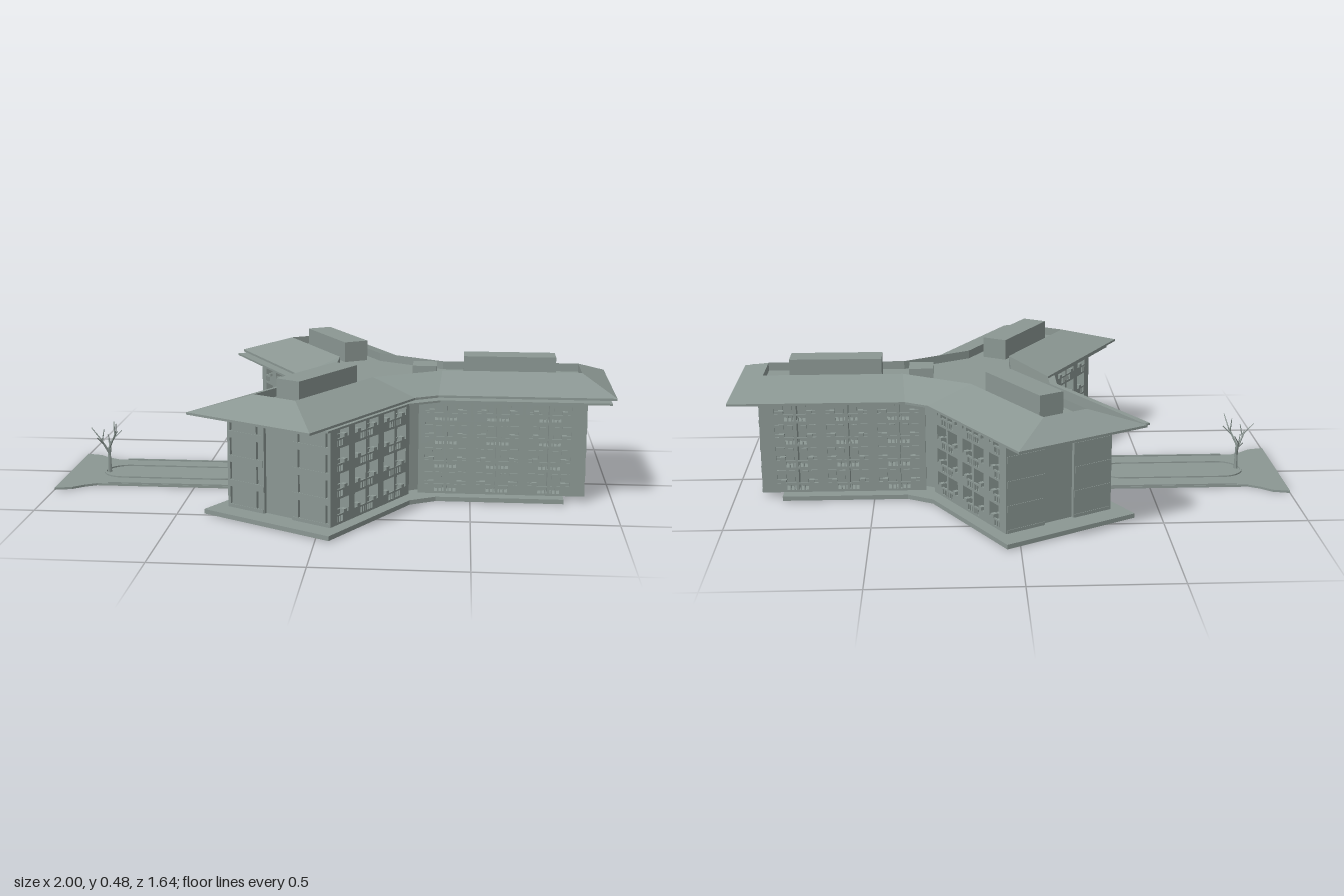
import * as THREE from 'three';
import { mergeGeometries } from 'three/addons/utils/BufferGeometryUtils.js';

const material = new THREE.MeshStandardMaterial({ color: 0x8b9793, flatShading: true });
const ANGLES = [0, 1, 2].map(i => i * Math.PI * 2 / 3);
const HUB = [0.17, 0.02];
const WALL_LENGTH = [0.73, 0.62, 0.625];
const FLOORS = 4, BASE = 0.02, PITCH = 0.086;

function add(parent, name, geometry) {
  const mesh = new THREE.Mesh(geometry, material);
  mesh.name = name;
  parent.add(mesh);
  return mesh;
}

// Box given by its limits on each axis
function span(x0, x1, y0, y1, z0, z1) {
  return new THREE.BoxGeometry(Math.abs(x1 - x0), y1 - y0, Math.abs(z1 - z0))
    .translate((x0 + x1) / 2, (y0 + y1) / 2, (z0 + z1) / 2);
}

// Three-winged outline with cut inner corners, as (x, -z) points
function wingOutline([cx, cz], lengths, half, inner) {
  const points = [];
  ANGLES.forEach((t, i) => {
    for (const [a, b] of [[inner, half], [lengths[i], half], [lengths[i], -half], [inner, -half]]) {
      points.push(new THREE.Vector2(
        cx + a * Math.cos(t) + b * Math.sin(t),
        -(cz - a * Math.sin(t) + b * Math.cos(t))));
    }
  });
  return points;
}

// Flat plate or prism standing between two heights
function prism(outline, y0, y1, holes = []) {
  const shape = new THREE.Shape(outline);
  shape.holes = holes.map(h => new THREE.Path(h));
  return new THREE.ExtrudeGeometry(shape, { depth: y1 - y0, bevelEnabled: false })
    .rotateX(-Math.PI / 2).translate(0, y0, 0);
}

// Skin through rings of [outline, height], closed at both ends
function loft(rings) {
  const pos = [], n = rings[0][0].length;
  const put = ([outline, y], i) => pos.push(outline[i % n].x, y, -outline[i % n].y);
  for (let r = 0; r < rings.length - 1; r++) {
    const a = rings[r], b = rings[r + 1];
    for (let i = 0; i < n; i++) {
      put(a, i); put(a, i + 1); put(b, i + 1);
      put(a, i); put(b, i + 1); put(b, i);
    }
  }
  const first = rings[0], last = rings[rings.length - 1];
  for (const f of THREE.ShapeUtils.triangulateShape(first[0], [])) [f[0], f[2], f[1]].forEach(i => put(first, i));
  for (const f of THREE.ShapeUtils.triangulateShape(last[0], [])) f.forEach(i => put(last, i));
  const g = new THREE.BufferGeometry();
  g.setAttribute('position', new THREE.Float32BufferAttribute(pos, 3));
  g.computeVertexNormals();
  return g;
}

// Balconies along one long side of a wing (s = +1 or -1), bays mirrored in pairs
function balconies(length, s) {
  const parts = [], x0 = 0.15, x1 = length - 0.035, bays = length > 0.7 ? 6 : 5;
  const w = (x1 - x0) / bays, back = 0.17 * s, front = 0.215 * s;
  for (let f = 0; f < FLOORS; f++) {
    const y = BASE + f * PITCH;
    parts.push(span(x0, x1, y, y + 0.008, back, front));
    for (let b = 0; b < bays; b++) {
      const at = k => x0 + (b + (b % 2 ? 1 - k : k)) * w;
      // solid parapet, open rail beside it, two rail posts
      parts.push(span(at(0.05), at(0.58), y, y + 0.034, front - 0.006 * s, front));
      parts.push(span(at(0.58), at(1), y + 0.028, y + 0.034, front - 0.005 * s, front));
      for (const k of [0.7, 0.85])
        parts.push(span(at(k), at(k + 0.05), y, y + 0.03, front - 0.004 * s, front));
      // upper side screen, window with sill, door and a wall unit
      parts.push(span(at(0.05), at(0.2), y + 0.034, y + PITCH, front - 0.006 * s, front));
      parts.push(span(at(0.15), at(0.5), y + 0.035, y + 0.068, back, back + 0.006 * s));
      parts.push(span(at(0.12), at(0.53), y + 0.031, y + 0.035, back, back + 0.012 * s));
      parts.push(span(at(0.62), at(0.85), y, y + 0.066, back, back + 0.006 * s));
      parts.push(span(at(0.35), at(0.55), y + 0.034, y + 0.046, front - 0.014 * s, front + 0.003 * s));
    }
  }
  for (let b = 0; b <= bays; b++)
    parts.push(span(x0 + b * w - 0.005, x0 + b * w + 0.005, BASE, 0.362, back, front));
  parts.push(span(x0, x1, 0.345, 0.362, back, front));
  return mergeGeometries(parts);
}

// Upright panels closing a wing: recessed middle, and slots broken by floor bands
function endWall(length, slotted) {
  const parts = [span(length - 0.035, length - 0.012, BASE, 0.362, -0.058, 0.058)];
  const strips = slotted ? [[0.058, 0.083], [0.091, 0.196], [0.204, 0.215]] : [[0.058, 0.215]];
  for (const s of [-1, 1]) {
    for (const [a, b] of strips)
      parts.push(span(length - 0.035, length, BASE, 0.362, a * s, b * s));
    for (let f = 0; f <= FLOORS; f++) {
      const y = BASE + f * PITCH;
      parts.push(span(length - 0.03, length + 0.002, Math.max(BASE, y - 0.012), Math.min(0.362, y + 0.012), 0.062 * s, 0.21 * s));
    }
  }
  return mergeGeometries(parts);
}

// Rounded long loop for the island kerb
function loopOutline(x0, x1, z, r) {
  const points = [];
  for (const [cx, start] of [[x1 - r, -Math.PI / 2], [x0 + r, Math.PI / 2]]) {
    for (let i = 0; i <= 16; i++) {
      const t = start + i * Math.PI / 16;
      points.push(new THREE.Vector2(cx + r * Math.cos(t), -z + r * Math.sin(t)));
    }
  }
  return points;
}

// Bare tree: each limb splits into thinner ones
function tree() {
  const parts = [], up = new THREE.Vector3(0, 1, 0);
  const limb = (from, dir, len, radius, depth, turn) => {
    const g = new THREE.CylinderGeometry(radius * 0.6, radius, len, 6).translate(0, len / 2, 0);
    g.applyQuaternion(new THREE.Quaternion().setFromUnitVectors(up, dir)).translate(from.x, from.y, from.z);
    parts.push(g);
    if (!depth) return;
    for (let k = 0; k < 3; k++) {
      const a = turn + k * 2.1;
      const next = dir.clone().add(new THREE.Vector3(Math.cos(a), 0.25, Math.sin(a)).multiplyScalar(0.65)).normalize();
      const start = from.clone().addScaledVector(dir, len * (0.98 - 0.2 * k));
      limb(start, next, len * (0.78 - 0.06 * k), radius * 0.58, depth - 1, a + 1.3);
    }
  };
  limb(new THREE.Vector3(-0.85, 0.008, 0.02), up, 0.095, 0.008, 2, 0.5);
  return mergeGeometries(parts);
}

export function createModel() {
  const model = new THREE.Group();
  model.name = 'threeWingBuilding';

  // Ground plate and hollow wall core
  const corridor = wingOutline(HUB, [0.62, 0.57, 0.57], 0.045, 0.19);
  add(model, 'groundPlate', prism(wingOutline(HUB, [0.655, 0.7, 0.7], 0.26, 0.21), 0.004, BASE, [corridor]));
  add(model, 'wallCore', prism(wingOutline(HUB, WALL_LENGTH.map(l => l - 0.03), 0.17, 0.15), BASE, 0.362, [corridor]));

  // Wings with balconies on both sides
  ANGLES.forEach((angle, i) => {
    const wing = new THREE.Group();
    wing.name = ['eastWing', 'rearWing', 'frontWing'][i];
    wing.position.set(HUB[0], 0, HUB[1]);
    wing.rotation.y = angle;
    add(wing, 'balconiesA', balconies(WALL_LENGTH[i], 1));
    add(wing, 'balconiesB', balconies(WALL_LENGTH[i], -1));
    add(wing, 'endWall', endWall(WALL_LENGTH[i], i === 2));
    model.add(wing);
  });

  // Eave plate, sloped roof and sunken roof deck
  const roofHub = [0.183, -0.018];
  const eave = wingOutline(roofHub, [0.817, 0.777, 0.82], 0.253, 0.2);
  const rim = wingOutline(roofHub, [0.707, 0.665, 0.668], 0.085, 0.21);
  add(model, 'eavePlate', prism(wingOutline(HUB, [0.81, 0.77, 0.7], 0.259, 0.22), 0.36, 0.367));
  add(model, 'roof', loft([[eave, 0.367], [eave, 0.375], [rim, 0.43], [rim, 0.4]]));

  // Plant rooms on the deck
  ANGLES.forEach((angle, i) => {
    const [start, end] = [[0.287, 0.617], [0.245, 0.585], [0.255, 0.595]][i];
    const box = add(model, 'plantRoom', span(start, end, 0.398, 0.476, -0.047, 0.047));
    box.position.set(roofHub[0], 0, roofHub[1]);
    box.rotation.y = angle;
  });
  add(model, 'roofHatch', span(0.285, 0.372, 0.398, 0.437, -0.065, 0.025));

  // Driveway with flared mouth
  const half = [[-0.1, 0.168], [-0.86, 0.168], [-0.9, 0.19], [-0.94, 0.225], [-1, 0.24]];
  const mirrored = half.slice().reverse().map(([x, z]) => [x, -z]);
  const drive = [...half, ...mirrored].map(([x, z]) => new THREE.Vector2(x, -z - 0.008));
  add(model, 'driveway', prism(drive, 0, 0.008));
  add(model, 'islandKerb', prism(loopOutline(-0.87, -0.33, 0.01, 0.085), 0.008, 0.013, [loopOutline(-0.863, -0.337, 0.01, 0.078)]));
  for (const z of [-0.155, 0.171])
    add(model, 'edgeKerb', span(-0.82, -0.25, 0.008, 0.013, z - 0.003, z + 0.003));
  add(model, 'tree', tree());

  return model;
}
